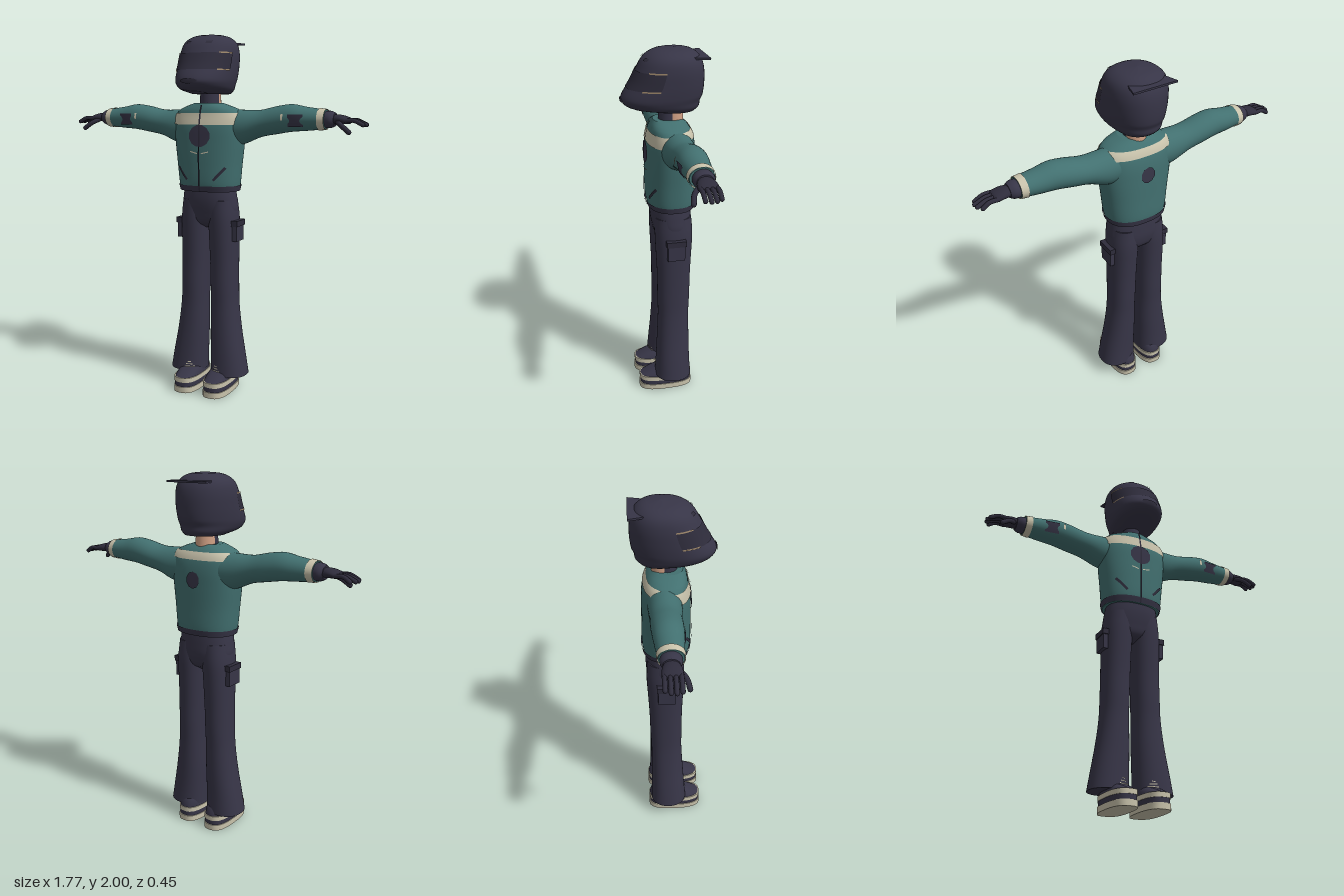
import * as THREE from 'three';

const mat = (name, color) => {
  const m = new THREE.MeshStandardMaterial({ color, side: THREE.DoubleSide });
  m.name = name;
  return m;
};

// A surface through cross-sections [t, centreX, centreZ, radiusX, radiusZ]; e < 1 makes it squarer
function surface(rows, e = 1) {
  const at = (t) => {
    let i = 0;
    while (i < rows.length - 2 && t > rows[i + 1][0]) i++;
    const a = rows[i], b = rows[i + 1], p = rows[i - 1] || a, n = rows[i + 2] || b;
    const h = b[0] - a[0], u = (t - a[0]) / h;
    return a.map((v, k) => {
      const m0 = ((b[k] - p[k]) / (b[0] - p[0])) * h, m1 = ((n[k] - v) / (n[0] - a[0])) * h;
      const u2 = u * u, u3 = u2 * u;
      return (2 * u3 - 3 * u2 + 1) * v + (u3 - 2 * u2 + u) * m0 + (3 * u2 - 2 * u3) * b[k] + (u3 - u2) * m1;
    });
  };
  const pw = (v) => Math.sign(v) * Math.pow(Math.abs(v), e);
  return {
    t0: rows[0][0], t1: rows[rows.length - 1][0],
    point(t, th, off = 0) {
      const [, cx, cz, rx, rz] = at(t);
      return [cx + (rx + off) * pw(Math.sin(th)), t, cz + (rz + off) * pw(Math.cos(th))];
    },
    // Point of the front (side 1) or back (side -1) at a given x
    project(x, t, side, off) {
      const [, cx, cz, rx, rz] = at(t);
      const s = Math.min(1, Math.pow(Math.abs(x - cx) / rx, 1 / e));
      return [x, t, cz + side * ((rz * Math.pow(Math.sqrt(1 - s * s), e)) + off)];
    },
  };
}

function build(pos, idx) {
  const g = new THREE.BufferGeometry();
  g.setAttribute('position', new THREE.Float32BufferAttribute(pos, 3));
  g.setIndex(idx);
  g.computeVertexNormals();
  return g;
}

// Closed skin with flat end caps
function loft(s, nt = 24, n = 36) {
  const pos = [], idx = [];
  for (let i = 0; i <= nt; i++)
    for (let j = 0; j < n; j++) pos.push(...s.point(s.t0 + ((s.t1 - s.t0) * i) / nt, (j / n) * Math.PI * 2));
  for (let i = 0; i < nt; i++)
    for (let j = 0; j < n; j++) {
      const k = (j + 1) % n, a = i * n + j, b = i * n + k;
      idx.push(a, b, b + n, a, b + n, a + n);
    }
  for (const end of [0, nt]) {
    const base = pos.length / 3, c = [0, 0, 0];
    for (let j = 0; j < n; j++) {
      const o = (end * n + j) * 3;
      for (let k = 0; k < 3; k++) { pos.push(pos[o + k]); c[k] += pos[o + k] / n; }
    }
    pos.push(...c);
    for (let j = 0; j < n; j++) {
      const a = base + j, b = base + ((j + 1) % n);
      if (end) idx.push(base + n, a, b); else idx.push(base + n, b, a);
    }
  }
  return build(pos, idx);
}

// Thin band lying on a surface; its limits may vary with the angle
function band(s, lo, hi, th0, th1, off, n = 48, m = 4) {
  const pos = [], idx = [], f = (v, th) => (typeof v === 'function' ? v(th) : v);
  for (let i = 0; i <= m; i++)
    for (let j = 0; j <= n; j++) {
      const th = th0 + ((th1 - th0) * j) / n, a = f(lo, th), b = f(hi, th);
      pos.push(...s.point(a + ((b - a) * i) / m, th, off));
    }
  for (let i = 0; i < m; i++)
    for (let j = 0; j < n; j++) {
      const a = i * (n + 1) + j, b = a + n + 1;
      idx.push(a, a + 1, b + 1, a, b + 1, b);
    }
  return build(pos, idx);
}

// Flat patch on a surface: n-sided, with radii rx and ry
function patch(s, x, t, rx, ry, n = 14, side = 1, off = 0.006) {
  const pos = [...s.project(x, t, side, off)], idx = [];
  for (let j = 0; j < n; j++) {
    const a = ((j + 0.5) / n) * Math.PI * 2;
    pos.push(...s.project(x + rx * Math.cos(a), t + ry * Math.sin(a), side, off));
    const p = j + 1, q = ((j + 1) % n) + 1;
    if (side > 0) idx.push(0, p, q); else idx.push(0, q, p);
  }
  return build(pos, idx);
}

// Narrow strip on the front of a surface from one (x, t) to another
function strip(s, x0, t0, x1, t1, w, off = 0.005, n = 12) {
  const pos = [], idx = [], len = Math.hypot(x1 - x0, t1 - t0);
  const nx = (-(t1 - t0) / len) * w / 2, nt = ((x1 - x0) / len) * w / 2;
  for (let i = 0; i <= n; i++) {
    const x = x0 + ((x1 - x0) * i) / n, t = t0 + ((t1 - t0) * i) / n;
    pos.push(...s.project(x - nx, t - nt, 1, off), ...s.project(x + nx, t + nt, 1, off));
    if (i < n) idx.push(2 * i, 2 * i + 2, 2 * i + 3, 2 * i, 2 * i + 3, 2 * i + 1);
  }
  return build(pos, idx);
}

function mirror(g) {
  const m = (g.index ? g.toNonIndexed() : g.clone()).scale(-1, 1, 1);
  for (const key of Object.keys(m.attributes)) {
    const at = m.attributes[key], k = at.itemSize, a = at.array;
    for (let i = 0; i < at.count; i += 3)
      for (let c = 0; c < k; c++) {
        const p = (i + 1) * k + c, q = (i + 2) * k + c;
        [a[p], a[q]] = [a[q], a[p]];
      }
  }
  return m;
}

export function createModel() {
  const model = new THREE.Group();
  model.name = 'helmetedFigure';
  const navy = mat('navy cloth', 0x373547), dark = mat('dark navy', 0x2e2c3b), teal = mat('teal jacket', 0x427070);
  const cream = mat('cream trim', 0xc8c2ab), tan = mat('tan edging', 0x9a8468), skin = mat('skin', 0xd0a084);
  const add = (name, g, m) => {
    const mesh = new THREE.Mesh(g, m);
    mesh.name = name;
    model.add(mesh);
  };
  const pair = (name, g, m) => { add(name + 'Left', g, m); add(name + 'Right', mirror(g), m); };
  const PI = Math.PI;

  // Helmet
  const helmet = surface([
    [1.68, 0, -0.06, 0.1, 0.11], [1.70, 0, -0.01, 0.128, 0.18], [1.73, 0, 0.01, 0.143, 0.205],
    [1.76, 0, 0.004, 0.15, 0.212], [1.83, 0, -0.022, 0.155, 0.193], [1.9, 0, -0.038, 0.154, 0.173],
    [1.95, 0, -0.045, 0.14, 0.148], [1.98, 0, -0.05, 0.108, 0.112], [1.994, 0, -0.055, 0.065, 0.068], [2, 0, -0.06, 0.004, 0.004],
  ], 0.92);
  add('helmet', loft(helmet, 48, 48), navy);
  add('visor', band(helmet, 1.805, 1.893, -1.35, 1.35, 0.004), dark);
  pair('visorTopEdge', band(helmet, 1.891, 1.898, 0.8, 1.35, 0.005, 16, 1), tan);
  pair('visorLowerEdge', band(helmet, 1.801, 1.808, 0.85, 1.35, 0.005, 16, 1), tan);
  add('chinVent', patch(helmet, 0, 1.745, 0.05, 0.014, 12), dark);
  pair('browVent', patch(helmet, 0.06, 1.95, 0.022, 0.01, 4), dark);
  const wing = new THREE.Shape([[-0.125, 0.22], [0.125, 0.22], [0.1, 0.13], [-0.1, 0.13]].map((p) => new THREE.Vector2(...p)));
  const spoiler = new THREE.ExtrudeGeometry(wing, { depth: 0.01, bevelEnabled: false });
  add('spoiler', spoiler.rotateX(-PI / 2).translate(0, 1.95, 0), navy);

  // Neck
  add('neck', new THREE.CylinderGeometry(0.05, 0.055, 0.12, 24).translate(0, 1.66, -0.055), skin);
  add('neckWarmer', new THREE.CylinderGeometry(0.05, 0.055, 0.12, 24).translate(0, 1.66, -0.03), navy);

  // Jacket body
  const torso = surface([
    [1.15, 0, -0.04, 0.166, 0.122], [1.19, 0, -0.038, 0.174, 0.13], [1.3, 0, -0.036, 0.186, 0.131],
    [1.42, 0, -0.036, 0.2, 0.13], [1.5, 0, -0.036, 0.204, 0.127], [1.56, 0, -0.036, 0.198, 0.115],
    [1.6, 0, -0.03, 0.165, 0.1], [1.63, 0, -0.022, 0.08, 0.075],
  ], 0.85);
  add('jacketBody', loft(torso, 32, 48), teal);
  add('jacketHem', band(torso, 1.15, 1.182, 0, PI * 2, 0.005), navy);
  const blend = (f, b) => (th) => b + (f - b) * THREE.MathUtils.smoothstep(Math.cos(th), -0.5, 0.5);
  add('yoke', band(torso, blend(1.515, 1.555), blend(1.577, 1.596), 0, PI * 2, 0.004, 64, 6), cream);
  add('zip', strip(torso, 0, 1.15, 0, 1.62, 0.009, 0.009, 30), dark);
  add('chestPatch', patch(torso, 0, 1.455, 0.064, 0.06, 12), navy);
  add('backPatch', patch(torso, 0, 1.45, 0.042, 0.045, 10, -1), navy);
  pair('chestMark', strip(torso, 0.012, 1.36, 0.055, 1.37, 0.006), cream);
  pair('frontPocket', strip(torso, 0.08, 1.215, 0.142, 1.285, 0.014), dark);

  // Sleeves, made upright and turned to lie along x
  const turn = (g) => g.rotateZ(-PI / 2);
  const sleeve = surface([
    [0.12, -1.5, -0.048, 0.098, 0.09], [0.2, -1.502, -0.048, 0.093, 0.087], [0.3, -1.522, -0.05, 0.073, 0.08],
    [0.4, -1.542, -0.05, 0.074, 0.08], [0.48, -1.553, -0.048, 0.072, 0.077], [0.56, -1.549, -0.047, 0.062, 0.07],
    [0.665, -1.547, -0.045, 0.05, 0.06],
  ]);
  pair('sleeve', turn(loft(sleeve)), teal);
  pair('sleeveCuff', turn(band(sleeve, 0.63, 0.667, 0, PI * 2, 0.004)), cream);
  pair('sleevePatch', turn(patch(sleeve, -1.54, 0.518, 0.045, 0.058, 4)), navy);
  pair('sleeveMark', turn(strip(sleeve, -1.575, 0.447, -1.54, 0.447, 0.012)), cream);

  // Gloves
  pair('gloveCuff', turn(loft(surface([
    [0.655, -1.547, -0.047, 0.043, 0.05], [0.69, -1.547, -0.047, 0.044, 0.052], [0.712, -1.547, -0.047, 0.034, 0.04],
  ]), 8, 24)), navy);
  pair('palm', turn(loft(surface([
    [0.7, -1.547, -0.047, 0.026, 0.034], [0.74, -1.548, -0.046, 0.024, 0.046], [0.785, -1.542, -0.046, 0.017, 0.046],
    [0.795, -1.54, -0.046, 0.008, 0.036],
  ]), 12, 24)), dark);
  const finger = (name, pts, r) => {
    const v = pts.map((p) => new THREE.Vector3(...p));
    pair(name, new THREE.TubeGeometry(new THREE.CatmullRomCurve3(v), 10, r, 10), dark);
    const tip = v[v.length - 1];
    pair(name + 'Tip', new THREE.SphereGeometry(r, 10, 8).translate(tip.x, tip.y, tip.z), dark);
  };
  [0.855, 0.872, 0.875, 0.865].forEach((x, i) => {
    const z = -0.083 + i * 0.025;
    finger('finger' + (i + 1), [[0.77, 1.542, z], [0.82, 1.543, z], [x, 1.522, z]], 0.0115);
  });
  finger('thumb', [[0.725, 1.54, -0.025], [0.765, 1.515, 0.015], [0.805, 1.485, 0.028]], 0.013);

  // Trousers
  add('hips', loft(surface([
    [0.94, 0, -0.045, 0.06, 0.04], [0.97, 0, -0.045, 0.13, 0.085], [1.03, 0, -0.045, 0.16, 0.104],
    [1.1, 0, -0.04, 0.156, 0.11], [1.17, 0, -0.038, 0.145, 0.108],
  ], 0.85), 20, 40), navy);
  const leg = surface([
    [0.1, 0.128, -0.035, 0.107, 0.104], [0.2, 0.119, -0.036, 0.099, 0.098], [0.35, 0.104, -0.04, 0.087, 0.092],
    [0.5, 0.095, -0.043, 0.077, 0.088], [0.6, 0.092, -0.044, 0.076, 0.091], [0.75, 0.089, -0.045, 0.077, 0.093],
    [0.9, 0.086, -0.045, 0.08, 0.1], [1.0, 0.083, -0.045, 0.082, 0.104], [1.1, 0.076, -0.042, 0.078, 0.1],
  ], 0.9);
  pair('trouserLeg', loft(leg, 30, 36), navy);
  [0.128, 0.142, 0.156].forEach((y, i) => pair('hemFray' + i, strip(leg, 0.055 + i * 0.01, y, 0.11 - i * 0.008, y, 0.005), cream));
  pair('cargoPocket', new THREE.BoxGeometry(0.03, 0.105, 0.095).translate(0.17, 0.925, -0.042), navy);
  pair('pocketFlap', new THREE.BoxGeometry(0.036, 0.032, 0.108).translate(0.172, 0.972, -0.042), dark);

  // Shoes: stacked sole layers under a sloping upper
  const layer = (y0, y1, rx, rz) => loft(surface([[y0, 0.092, 0.003, rx, rz], [y1, 0.092, 0.003, rx, rz]], 0.72), 1, 36);
  pair('outsole', layer(0, 0.033, 0.073, 0.156), cream);
  pair('midsoleStripe', layer(0.033, 0.06, 0.069, 0.151), navy);
  pair('midsole', layer(0.06, 0.086, 0.072, 0.154), cream);
  pair('shoeUpper', loft(surface([
    [0.086, 0.092, 0.002, 0.069, 0.15], [0.11, 0.092, -0.02, 0.064, 0.122], [0.135, 0.092, -0.045, 0.054, 0.085],
    [0.15, 0.092, -0.05, 0.045, 0.06],
  ], 0.8), 10, 36), navy);

  return model;
}
